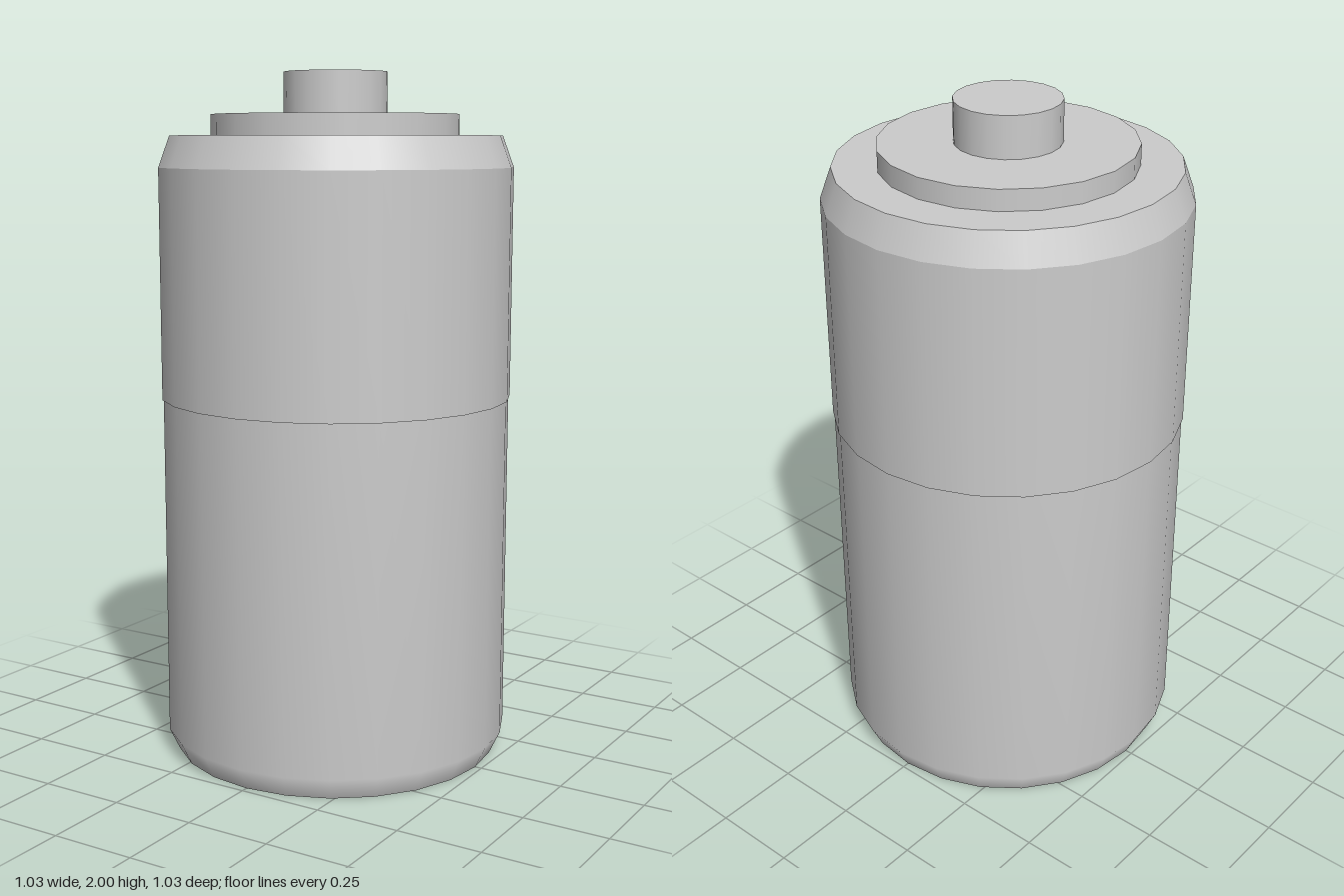
import * as THREE from 'three';

const metal = new THREE.MeshStandardMaterial({ color: 0xcccccc });
metal.name = 'plain grey';

// Each run of [radius, y] points is shaded smoothly; edges between runs stay sharp.
function turned(name, sides, runs) {
  const part = new THREE.Group();
  part.name = name;
  for (const [label, points] of Object.entries(runs)) {
    const profile = points.map(([r, y]) => new THREE.Vector2(r, y));
    const mesh = new THREE.Mesh(new THREE.LatheGeometry(profile, sides), metal);
    mesh.name = label;
    part.add(mesh);
  }
  return part;
}

export function createModel() {
  const model = new THREE.Group();
  model.name = 'battery';

  // Lower casing with a softly shaded bottom bevel
  model.add(turned('lowerCasing', 24, {
    base: [[0, 0], [0.48, 0]],
    lowerWall: [[0.48, 0], [0.511, 0.065], [0.511, 1.065]],
  }));

  // Slightly wider upper sleeve with a bevelled shoulder
  model.add(turned('upperSleeve', 24, {
    sleeveLip: [[0.511, 1.065], [0.515, 1.065]],
    sleeveWall: [[0.515, 1.065], [0.515, 1.73]],
    shoulder: [[0.515, 1.73], [0.482, 1.82]],
    sleeveTop: [[0.482, 1.82], [0, 1.82]],
  }));

  // Raised disc and positive terminal
  model.add(turned('terminalDisc', 20, {
    discRim: [[0.36, 1.82], [0.36, 1.88]],
    discTop: [[0.36, 1.88], [0, 1.88]],
  }));
  model.add(turned('terminal', 20, {
    terminalWall: [[0.15, 1.88], [0.15, 2]],
    terminalTop: [[0.15, 2], [0, 2]],
  }));

  return model;
}
